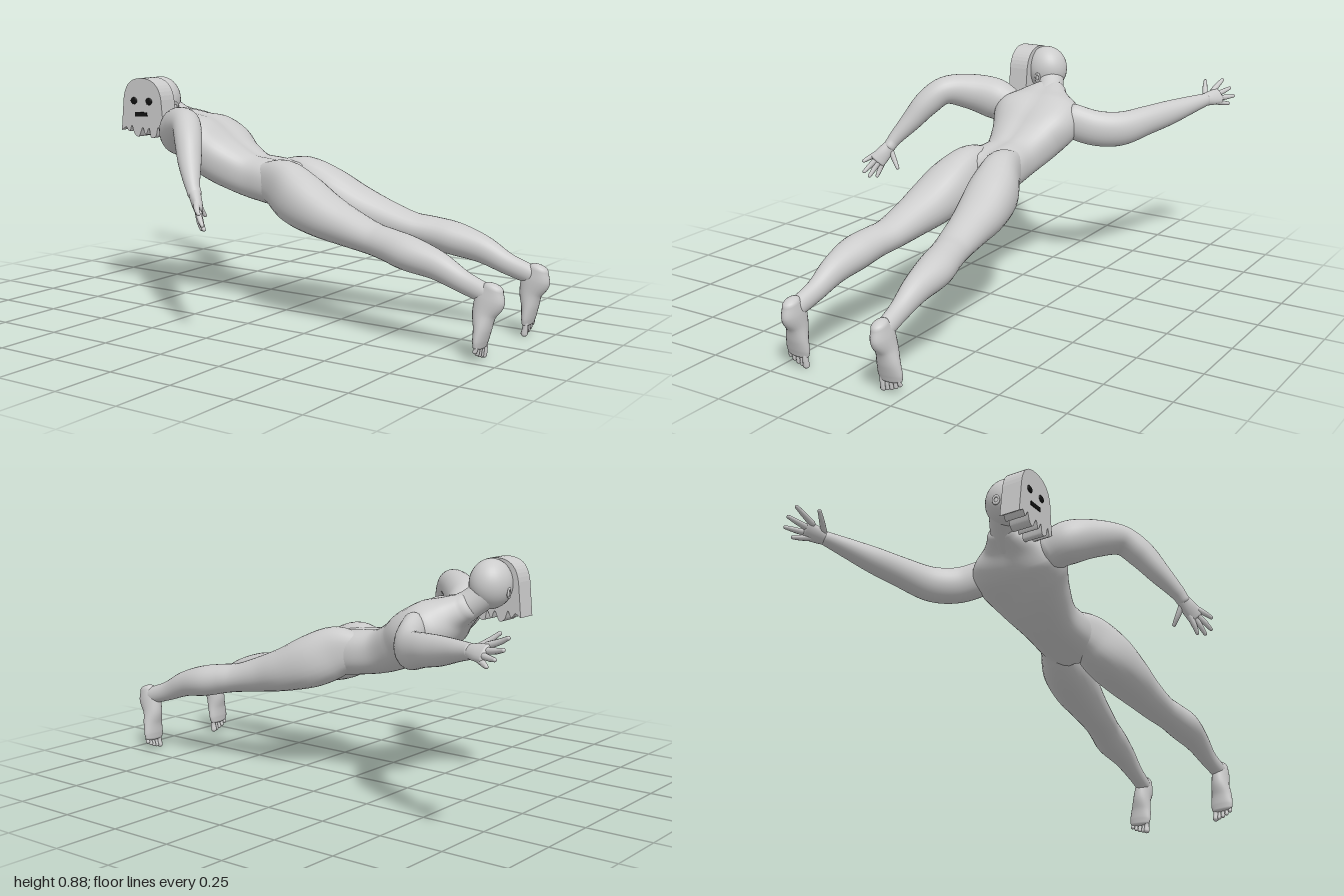
import * as THREE from 'three';

const grey = new THREE.MeshStandardMaterial({ color: 0xcccccc });
const black = new THREE.MeshStandardMaterial({ color: 0x111111 });
const V = (p) => new THREE.Vector3(...p);

// Smooth skin through sections [x, y, z, sideRadius, upRadius], with rounded ends.
function loft(name, sections, hint = [0, 1, 0], { sides = 28, steps = 6, cap = 0.6, rule = () => 1 } = {}) {
  const path = new THREE.CatmullRomCurve3(sections.map((s) => V(s)));
  const radii = new THREE.CatmullRomCurve3(sections.map((s) => new THREE.Vector3(s[3], s[4] ?? s[3], 0)), false, 'catmullrom', 0.5);
  const n = (sections.length - 1) * steps;
  const rings = [];
  const capRings = 5;
  for (let i = 0; i < capRings; i++) {
    const a = (i / capRings) * Math.PI / 2;
    rings.push({ u: 0, scale: Math.max(Math.sin(a), 0.01), shift: -Math.cos(a) * cap });
  }
  for (let i = 0; i <= n; i++) rings.push({ u: i / n, scale: 1, shift: 0 });
  for (let i = capRings - 1; i >= 0; i--) {
    const a = (i / capRings) * Math.PI / 2;
    rings.push({ u: 1, scale: Math.max(Math.sin(a), 0.01), shift: Math.cos(a) * cap });
  }
  const pos = [], index = [];
  rings.forEach(({ u, scale, shift }, i) => {
    const t = path.getTangent(u), c = path.getPoint(u), r = radii.getPoint(u);
    const s = V(hint).cross(t).normalize(), up = t.clone().cross(s);
    c.addScaledVector(t, shift * Math.min(r.x, r.y));
    for (let j = 0; j < sides; j++) {
      const a = (j / sides) * Math.PI * 2, k = scale * rule(u, a);
      const p = c.clone().addScaledVector(s, Math.cos(a) * r.x * k).addScaledVector(up, Math.sin(a) * r.y * k);
      pos.push(p.x, p.y, p.z);
      if (i < rings.length - 1) {
        const A = i * sides + j, B = i * sides + (j + 1) % sides;
        index.push(A, B, A + sides, B, B + sides, A + sides);
      }
    }
  });
  const g = new THREE.BufferGeometry();
  g.setAttribute('position', new THREE.Float32BufferAttribute(pos, 3));
  g.setIndex(index);
  g.computeVertexNormals();
  return named(name, g);
}

function named(name, geometry, material = grey) {
  const m = new THREE.Mesh(geometry, material);
  m.name = name;
  return m;
}

function ball(name, c, r, material) {
  const m = named(name, new THREE.SphereGeometry(1, 32, 22), material);
  m.position.set(...c);
  m.scale.set(...r);
  return m;
}

// Palm and five fingers; tips run from thumb to little finger.
function hand(name, wrist, tips) {
  const g = new THREE.Group();
  g.name = name;
  const w = V(wrist), t = tips.map(V);
  const normal = t[2].clone().sub(w).cross(t[4].clone().sub(t[1])).normalize();
  const hint = normal.toArray();
  const at = (tip, k) => w.clone().lerp(tip, k);
  const mid = t[2].clone().lerp(t[3], 0.5);
  g.add(loft('palm', [
    [...wrist, 0.025, 0.022], [...at(mid, 0.25), 0.031, 0.02], [...at(mid, 0.5), 0.033, 0.015],
  ], hint, { sides: 18, steps: 4 }));
  t.forEach((tip, i) => {
    const base = at(tip, i ? 0.45 : 0.12);
    const bend = base.clone().lerp(tip, 0.55).addScaledVector(normal, 0.003);
    g.add(loft(i ? 'finger' : 'thumb', [
      [...base.toArray(), 0.012], [...bend.toArray(), 0.01], [...base.lerp(tip, 0.95).toArray(), 0.007],
    ], hint, { sides: 10, steps: 4, cap: 0.9 }));
  });
  return g;
}

// Leg with foot and toes; s is the side of the body along z.
function leg(s) {
  const g = new THREE.Group();
  g.name = s > 0 ? 'frontLeg' : 'backLeg';
  const put = (list) => list.map(([x, y, z, ...r]) => [x, y, z * s, ...r]);
  g.add(loft('thighAndCalf', put([
    [-0.07, 0.515, 0.056, 0.042, 0.062], [0.03, 0.5, 0.069, 0.07, 0.096], [0.13, 0.457, 0.093, 0.093, 0.101],
    [0.24, 0.415, 0.112, 0.092, 0.086], [0.35, 0.383, 0.124, 0.078, 0.071], [0.47, 0.354, 0.138, 0.067, 0.057],
    [0.54, 0.343, 0.153, 0.064, 0.058], [0.63, 0.325, 0.168, 0.066, 0.061], [0.74, 0.298, 0.172, 0.049, 0.051],
    [0.84, 0.255, 0.174, 0.034, 0.039], [0.93, 0.225, 0.18, 0.03, 0.035],
  ]), [0, 1, 0], { rule: (u, a) => 1 + 0.09 * Math.max(0, 1 - 2.5 * u) * Math.sin(2 * a) ** 2 }));
  g.add(loft('foot', put([
    [0.957, 0.247, 0.182, 0.026, 0.037], [0.946, 0.21, 0.183, 0.032, 0.054], [0.928, 0.16, 0.186, 0.036, 0.042],
    [0.925, 0.11, 0.19, 0.044, 0.029], [0.92, 0.07, 0.192, 0.048, 0.021], [0.918, 0.05, 0.193, 0.045, 0.016],
  ]), [1, 0, 0], { sides: 22, cap: 0.7 }));
  for (let i = 0; i < 5; i++) {
    const z = (0.162 + i * 0.0165) * s, r = i ? 0.008 : 0.012, y = 0.012 + i * i * 0.0015;
    g.add(loft('toe', [
      [0.918, 0.06, z, r], [0.921, 0.033 + y * 0.4, z, r * 0.85], [0.917, y, z, r],
    ], [1, 0, 0], { sides: 10, steps: 4, cap: 0.9 }));
  }
  return g;
}

// Face mask with a domed top and dripping lower edge.
function mask() {
  const g = new THREE.Group();
  g.name = 'mask';
  const s = new THREE.Shape();
  s.moveTo(-0.658, 0.675);
  s.lineTo(-0.646, 0.8);
  s.bezierCurveTo(-0.637, 0.86, -0.605, 0.882, -0.553, 0.882);
  s.bezierCurveTo(-0.505, 0.882, -0.465, 0.86, -0.456, 0.8);
  s.lineTo(-0.444, 0.68);
  const drips = [[-0.46, 0.668], [-0.472, 0.695], [-0.484, 0.66], [-0.508, 0.655], [-0.518, 0.69], [-0.535, 0.662],
    [-0.55, 0.69], [-0.57, 0.655], [-0.592, 0.665], [-0.605, 0.695], [-0.618, 0.672], [-0.635, 0.69]];
  s.splineThru(drips.map((p) => new THREE.Vector2(...p)));
  s.closePath();
  const shell = named('maskShell', new THREE.ExtrudeGeometry(s, { depth: 0.08, bevelEnabled: false, curveSegments: 10 }));
  shell.position.z = 0.108;
  g.add(shell);
  for (const x of [-0.593, -0.517]) g.add(ball('eye', [x, 0.793, 0.188], [0.016, 0.014, 0.005], black));
  const mouth = named('mouth', new THREE.BoxGeometry(0.06, 0.016, 0.01), black);
  mouth.position.set(-0.556, 0.742, 0.186);
  mouth.rotation.z = 0.04;
  g.add(mouth);
  return g;
}

export function createModel() {
  const model = new THREE.Group();
  model.name = 'lyingFigure';

  // Torso, with a spine groove, shoulder blades and a line between the chest muscles
  const dip = (a, c, w) => Math.exp(-(((a - c) / w) ** 2));
  model.add(loft('torso', [
    [0.03, 0.492, 0, 0.115, 0.088], [-0.05, 0.503, 0, 0.114, 0.088],
    [-0.15, 0.518, 0, 0.111, 0.085], [-0.25, 0.56, 0, 0.142, 0.094], [-0.33, 0.61, 0, 0.176, 0.1],
    [-0.395, 0.652, 0.008, 0.172, 0.096], [-0.45, 0.688, 0.016, 0.115, 0.068], [-0.5, 0.715, 0.018, 0.064, 0.05],
  ], [0, 1, 0], {
    sides: 48,
    rule: (u, a) => 1 + 0.07 * Math.sin(2 * a) ** 2 - 0.08 * dip(a, Math.PI / 2, 0.2) - 0.06 * dip(a, Math.PI * 1.5, 0.2)
      + 0.05 * dip(u, 0.62, 0.12) * (dip(a, 0.95, 0.3) + dip(a, Math.PI - 0.95, 0.3)),
  }));

  // Neck, head and ears
  model.add(loft('neck', [[-0.44, 0.68, 0.005, 0.065], [-0.5, 0.72, 0.025, 0.054], [-0.545, 0.76, 0.05, 0.055]]));
  model.add(ball('head', [-0.555, 0.793, 0.072], [0.077, 0.09, 0.084]));
  for (const side of [-1, 1]) {
    const ear = named('ear', new THREE.TorusGeometry(0.011, 0.004, 8, 18));
    ear.position.set(-0.555 + side * 0.076, 0.766, 0.072);
    ear.rotation.y = Math.PI / 2 - side * 0.3;
    ear.scale.y = 1.4;
    model.add(ear, ball('earLobe', [-0.555 + side * 0.073, 0.763, 0.072], [0.005, 0.015, 0.01]));
  }
  model.add(mask());

  // Bent arm toward the front
  model.add(loft('frontArm', [
    [-0.38, 0.655, 0.14, 0.06, 0.072], [-0.36, 0.688, 0.205, 0.07, 0.082], [-0.285, 0.722, 0.278, 0.062, 0.07],
    [-0.205, 0.732, 0.344, 0.053, 0.055], [-0.156, 0.685, 0.394, 0.05, 0.052], [-0.112, 0.615, 0.442, 0.042, 0.041],
    [-0.06, 0.54, 0.492, 0.027, 0.027], [-0.042, 0.515, 0.503, 0.025, 0.024],
  ]));
  model.add(hand('frontHand', [-0.042, 0.515, 0.503], [
    [-0.032, 0.43, 0.455], [0.01, 0.397, 0.53], [0.036, 0.4, 0.55], [0.045, 0.418, 0.57], [0.035, 0.46, 0.578],
  ]));

  // Outstretched arm toward the back
  model.add(loft('backArm', [
    [-0.375, 0.635, -0.14, 0.048, 0.07], [-0.415, 0.608, -0.23, 0.05, 0.07], [-0.48, 0.602, -0.305, 0.052, 0.068],
    [-0.58, 0.623, -0.37, 0.049, 0.058], [-0.68, 0.64, -0.42, 0.044, 0.05], [-0.78, 0.66, -0.472, 0.034, 0.036],
    [-0.85, 0.672, -0.506, 0.025, 0.026],
  ]));
  model.add(hand('backHand', [-0.85, 0.672, -0.506], [
    [-0.935, 0.735, -0.468], [-0.997, 0.733, -0.52], [-1, 0.7, -0.553], [-0.985, 0.672, -0.578], [-0.95, 0.645, -0.57],
  ]));

  model.add(leg(1), leg(-1));
  return model;
}
